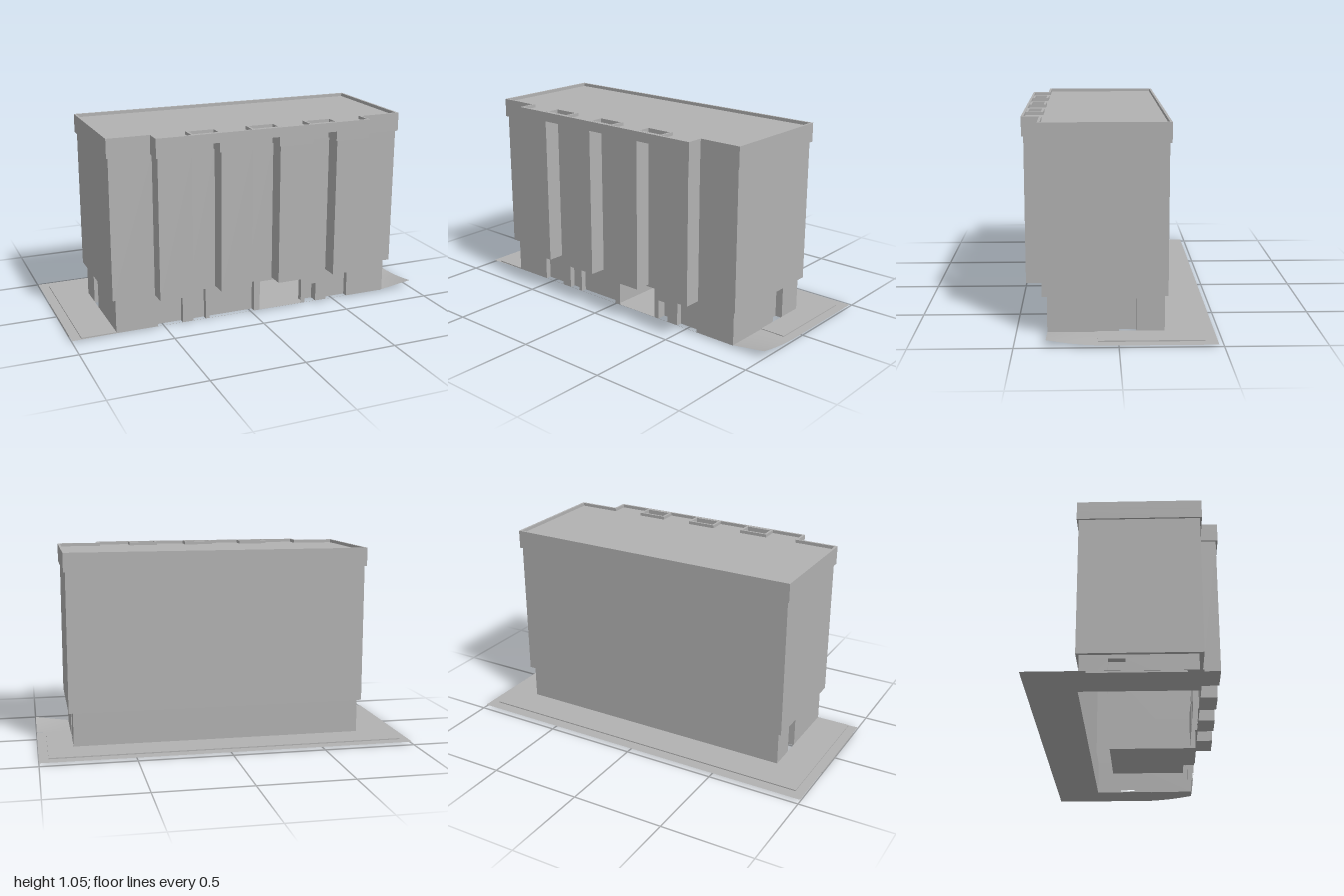
import * as THREE from 'three';

const concrete = new THREE.MeshStandardMaterial({ color: 0xb2b2b2, side: THREE.DoubleSide });
concrete.name = 'concreteGrey';

const toShape = (pts, holes = []) => {
  const s = new THREE.Shape(pts.map(([x, z]) => new THREE.Vector2(x, -z)));
  s.holes = holes.map(h => new THREE.Path(h.map(([x, z]) => new THREE.Vector2(x, -z))));
  return s;
};
const rect = (x0, x1, z0, z1) => [[x0, z0], [x1, z0], [x1, z1], [x0, z1]];

export function createModel() {
  const model = new THREE.Group();
  model.name = 'apartmentBlock';

  const add = (name, geo, parent = model) => {
    const m = new THREE.Mesh(geo, concrete);
    m.name = name;
    parent.add(m);
  };
  // Solid plan outline between two heights
  const prism = (name, pts, y0, y1, holes) => add(name,
    new THREE.ExtrudeGeometry(toShape(pts, holes), { depth: y1 - y0, bevelEnabled: false })
      .rotateX(-Math.PI / 2).translate(0, y0, 0));
  // Flat horizontal sheet
  const sheet = (name, pts, y, holes, parent) => add(name,
    new THREE.ShapeGeometry(toShape(pts, holes)).rotateX(-Math.PI / 2).translate(0, y, 0), parent);
  // Upright thin wall following a plan path
  const wall = (name, pts, y0, y1, closed, parent) => {
    const pos = [];
    const n = closed ? pts.length : pts.length - 1;
    for (let i = 0; i < n; i++) {
      const [ax, az] = pts[i], [bx, bz] = pts[(i + 1) % pts.length];
      pos.push(ax, y0, az, bx, y0, bz, bx, y1, bz, ax, y0, az, bx, y1, bz, ax, y1, az);
    }
    const g = new THREE.BufferGeometry();
    g.setAttribute('position', new THREE.Float32BufferAttribute(pos, 3));
    g.computeVertexNormals();
    add(name, g, parent);
  };

  // Front outline with four projecting bays; e widens everything outwards
  const bays = [[-0.56, -0.38], [-0.225, -0.053], [0.103, 0.273], [0.43, 0.605]];
  const outline = (e, notched) => {
    const xl = -0.785 - e, xr = 0.835 + e, zb = -0.245 - e, zs = 0.37 + e, zf = 0.46 + e;
    const pts = [[xl, zb], [xl, zs]];
    const runs = notched ? bays : [[bays[0][0], bays[3][1]]];
    for (const [a, b] of runs) pts.push([a - e, zs], [a - e, zf], [b + e, zf], [b + e, zs]);
    pts.push([xr, zs], [xr, zb]);
    return pts;
  };

  // Upper storeys
  const base = rect(-0.765, 0.812, -0.23, 0.346);
  wall('upperWalls', outline(0, true), 0.2, 0.95, true);
  sheet('overhangSoffit', outline(0, true), 0.2, [base]);

  // Roof band, bridging over the gaps between bays
  const gaps = [0, 1, 2].map(i => [bays[i][1] + 0.01, bays[i + 1][0] - 0.01]);
  const holes = gaps.map(([a, b]) => rect(a, b, 0.38, 0.445));
  prism('roofBandLower', outline(0.01, true), 0.95, 1.0);
  prism('roofBandUpper', outline(0.01, false), 1.0, 1.033, holes);
  prism('parapetRim', outline(0.01, false), 1.033, 1.05, [outline(-0.002, false)]);
  gaps.forEach(([a, b], i) =>
    prism('gapRim', rect(a - 0.012, b + 0.012, 0.368, 0.457), 1.033, 1.05, [holes[i]]));

  // Ground floor: a wall panel with openings, each backed by a niche
  const facade = (name, u0, u1, openings) => {
    const g = new THREE.Group();
    g.name = name;
    const y0 = 0.01;
    const corners = (a, b, low, top) => [[a, low], [b, low], [b, top], [a, top]].map(p => new THREE.Vector2(...p));
    const s = new THREE.Shape(corners(u0, u1, y0, 0.2));
    for (const [a, b, top, depth] of openings) {
      s.holes.push(new THREE.Path(corners(a, b, y0 + 0.001, top)));
      if (!depth) continue;
      wall('nicheWalls', [[a, 0], [a, -depth], [b, -depth], [b, 0]], y0, top, false, g);
      sheet('nicheTop', rect(a, b, -depth, 0), top, [], g);
    }
    add('facadePanel', new THREE.ShapeGeometry(s), g);
    model.add(g);
    return g;
  };
  facade('frontFacade', -0.765, 0.812, [
    [-0.54, -0.4, 0.18, 0.03], [-0.34, -0.27, 0.18, 0.03], [-0.25, 0.01, 0.18, 0.03],
    [0.045, 0.295, 0.175, 0], [0.32, 0.385, 0.115, 0.05], [0.45, 0.58, 0.18, 0.03],
  ]).position.z = 0.346;
  const leftSide = facade('leftSideFacade', -0.346, 0.23, [[0.005, 0.09, 0.18, 0.04]]);
  leftSide.rotation.y = Math.PI / 2;
  leftSide.position.x = 0.812;
  const rightSide = facade('rightSideFacade', -0.23, 0.346, [[-0.09, -0.005, 0.18, 0.04]]);
  rightSide.rotation.y = -Math.PI / 2;
  rightSide.position.x = -0.765;
  wall('backWall', [[0.812, -0.23], [-0.765, -0.23]], 0.01, 0.2);

  // Entrance lobby
  const lobby = [[0.03, 0.345], [0.03, -0.12], [0.45, -0.12], [0.45, 0.285], [0.31, 0.285], [0.31, 0.345]];
  sheet('lobbyFloor', lobby, 0.011);
  sheet('lobbyCeiling', lobby, 0.18);
  wall('lobbyWalls', lobby, 0.011, 0.18);

  // Ground around three sides, with a slightly raised inner pavement
  const innerEdge = [[0.812, 0.1], [0.812, -0.23], [-0.765, -0.23], [-0.765, 0.346]];
  sheet('groundSheet', [[-1, 0.355], [-1, -0.475], [1, -0.475], [1, 0.1], ...innerEdge], 0.01);
  prism('pavement', [[-0.95, 0.346], [-0.95, -0.415], [0.95, -0.415], [0.95, 0.1], ...innerEdge], 0.01, 0.016);

  // Corner of the ground that curves upwards
  const ramp = new THREE.PlaneGeometry(0.188, 0.246, 6, 8).rotateX(-Math.PI / 2).translate(0.906, 0, 0.223);
  const p = ramp.attributes.position;
  for (let i = 0; i < p.count; i++) {
    const u = THREE.MathUtils.clamp((p.getX(i) - 0.812) / 0.188, 0, 1);
    const v = THREE.MathUtils.clamp((p.getZ(i) - 0.1) / 0.246, 0, 1);
    p.setY(i, 0.012 + 0.028 * u * v ** 1.6);
  }
  ramp.computeVertexNormals();
  add('cornerRamp', ramp);

  // Kerb beneath the outer edge
  prism('kerb', rect(-1, -0.985, -0.175, 0.28), 0, 0.009);

  return model;
}
